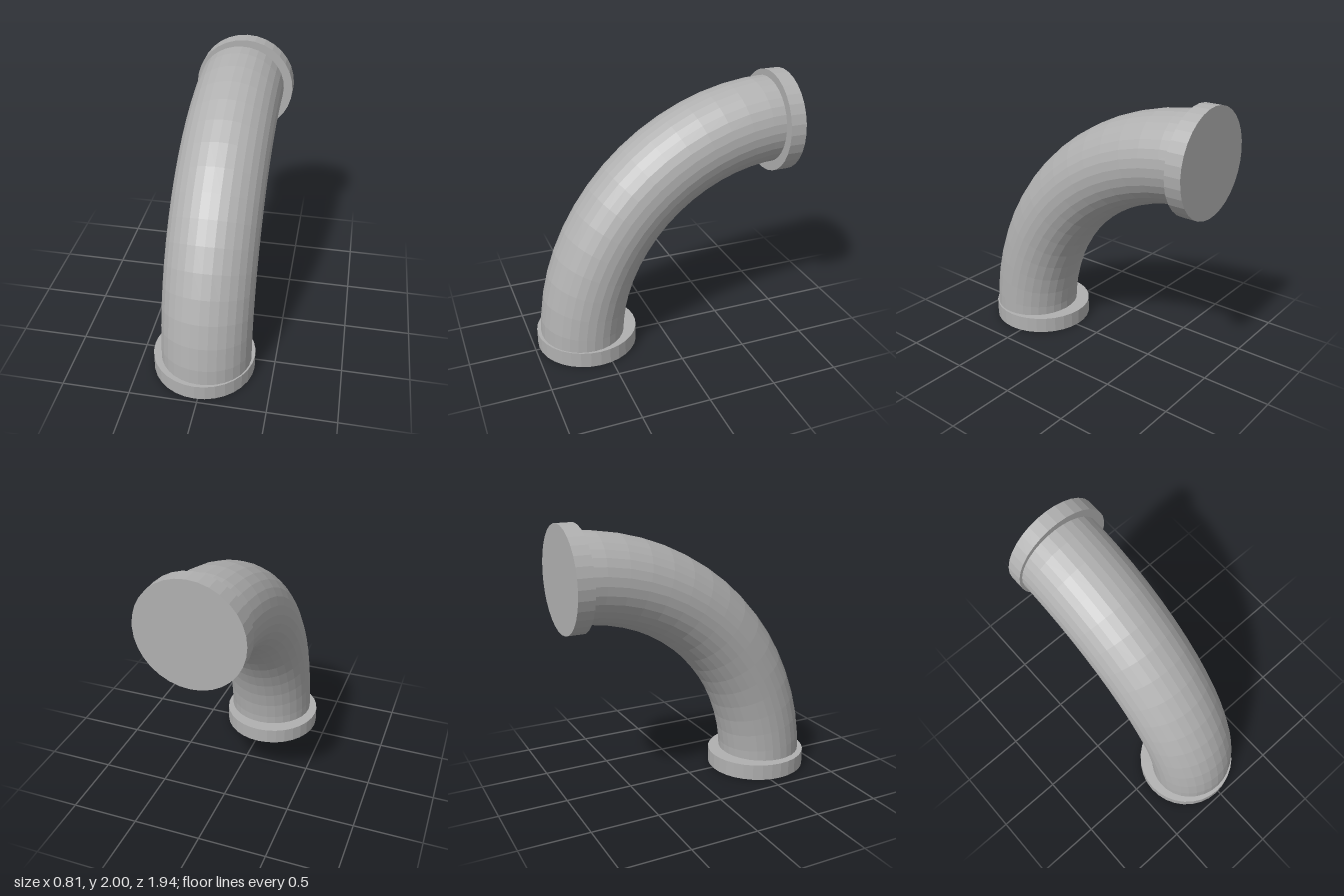
import * as THREE from 'three';

export function createModel() {
  const group = new THREE.Group();
  group.name = 'pipeElbow';
  const grey = new THREE.MeshStandardMaterial({ color: 0xb0b0b0, flatShading: true });
  grey.name = 'grey';
  const SIDES = 32, FLANGE = 0.12;

  const add = (name, geometry, x, y, z) => {
    const mesh = new THREE.Mesh(geometry, grey);
    mesh.name = name;
    mesh.position.set(x, y, z);
    group.add(mesh);
  };

  // Quarter bend, slightly wider than deep, ending inside both flanges
  const bend = new THREE.TorusGeometry(1.555, 0.318, SIDES, 16, Math.PI / 2);
  bend.scale(1.54 / 1.555, 1.57 / 1.555, 0.335 / 0.318);
  bend.rotateY(-Math.PI / 2);
  add('bentPipe', bend, 0, FLANGE / 2, -0.91);

  // Solid end flanges, each set a little off the pipe's axis
  const disc = () => new THREE.CylinderGeometry(0.38, 0.38, FLANGE, SIDES);
  add('lowerFlange', disc(), -0.023, FLANGE / 2, 0.588);
  add('upperFlange', disc().rotateX(Math.PI / 2), 0.023, 1.62, -0.91);

  return group;
}
